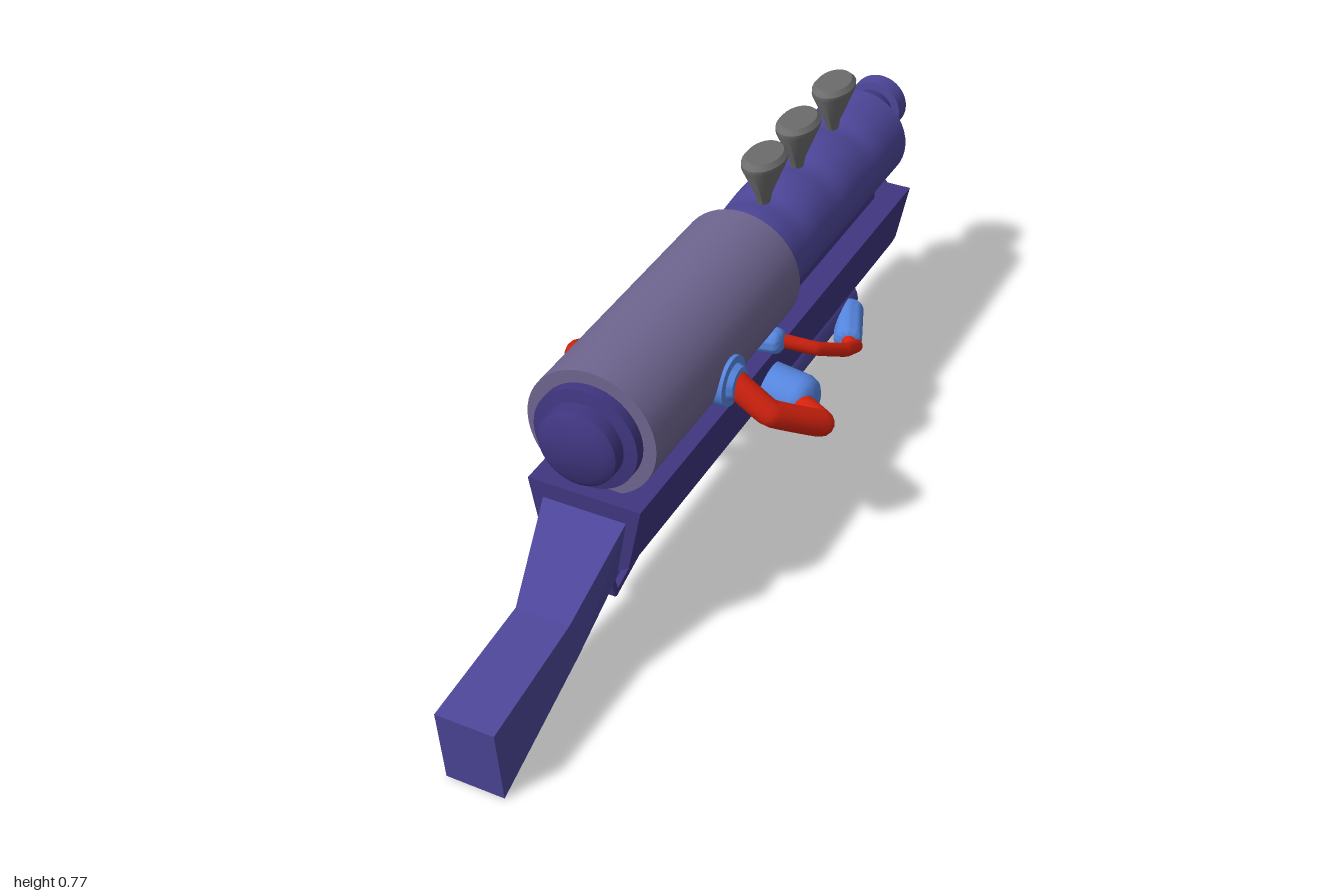
import * as THREE from 'three';
import { toCreasedNormals } from 'three/addons/utils/BufferGeometryUtils.js';

const mat = (name, color) => {
  const m = new THREE.MeshStandardMaterial({ color });
  m.name = name;
  return m;
};

export function createModel() {
  const root = new THREE.Group();
  root.name = 'waterBlaster';
  const purple = mat('purple', 0x4d4699);
  const darkPurple = mat('dark purple', 0x3f3680);
  const mauve = mat('mauve', 0x6f6590);
  const blue = mat('light blue', 0x5585de);
  const red = mat('red', 0xdc2410);
  const grey = mat('grey', 0x6c6c6c);

  const add = (name, geo, material, x = 0, y = 0, z = 0) => {
    const m = new THREE.Mesh(geo, material);
    m.name = name;
    m.position.set(x, y, z);
    root.add(m);
    return m;
  };
  const V = (p) => new THREE.Vector3(...p);

  // Turned part: profile of [radius, height], sharp corners kept
  const turned = (profile, sides = 40) => toCreasedNormals(
    new THREE.LatheGeometry(profile.map(([r, h]) => new THREE.Vector2(r, h)), sides), 0.6);
  // Turned part whose profile heights run along z
  const turnedZ = (profile, sides) => turned(profile, sides).rotateX(Math.PI / 2);

  // Flat-sided solid through rings, each counter-clockwise, ordered from +z to -z
  const loft = (rings) => {
    const pos = [];
    const tri = (...pts) => pts.forEach((p) => pos.push(...p));
    const n = rings[0].length;
    for (let k = 0; k < rings.length - 1; k++) {
      for (let i = 0; i < n; i++) {
        const j = (i + 1) % n;
        const a = rings[k][i], b = rings[k][j], c = rings[k + 1][j], d = rings[k + 1][i];
        tri(a, d, c);
        tri(a, c, b);
      }
    }
    const first = rings[0], last = rings[rings.length - 1];
    for (let i = 1; i < n - 1; i++) {
      tri(first[0], first[i], first[i + 1]);
      tri(last[0], last[i + 1], last[i]);
    }
    const g = new THREE.BufferGeometry();
    g.setAttribute('position', new THREE.Float32BufferAttribute(pos, 3));
    g.computeVertexNormals();
    return g;
  };

  // Lower body: tapered hull with chamfered underside
  const bodyRing = (z, bottom) => [
    [-0.07, bottom, z], [0.07, bottom, z], [0.1, Math.max(0.25, bottom + 0.02), z],
    [0.13, 0.405, z], [-0.13, 0.405, z], [-0.1, Math.max(0.25, bottom + 0.02), z]];
  add('body', loft([
    bodyRing(0.52, 0.23), bodyRing(0.44, 0.2), bodyRing(-0.88, 0.2), bodyRing(-0.905, 0.235),
  ]), darkPurple);

  // Shoulder stock: [top y, top z, top half width, bottom y, bottom z, bottom half width]
  add('stock', loft([
    [0.187, 1.0, 0.067, 0.0, 0.98, 0.067],
    [0.222, 0.7, 0.062, 0.115, 0.67, 0.062],
    [0.37, 0.515, 0.097, 0.225, 0.5, 0.072],
  ].map(([ty, tz, tw, by, bz, bw]) =>
    [[-bw, by, bz], [bw, by, bz], [tw, ty, tz], [-tw, ty, tz]])), purple);

  // Tank with stepped end cap
  add('tank', turnedZ([[0, -0.2], [0.147, -0.2], [0.147, 0.48], [0, 0.48]], 48), mauve, 0, 0.536);
  add('tankCap', turnedZ([
    [0.118, 0.47], [0.118, 0.505], [0.09, 0.51], [0.088, 0.54], [0.07, 0.553], [0, 0.557],
  ]), darkPurple, 0, 0.536);

  // Barrel, its top dipping slightly around each funnel
  const funnelZ = [-0.32, -0.5, -0.7];
  const barrel = new THREE.CylinderGeometry(0.12, 0.12, 0.68, 40, 34).rotateX(Math.PI / 2);
  barrel.translate(0, 0, -0.54);
  const bp = barrel.attributes.position;
  for (let i = 0; i < bp.count; i++) {
    const y = bp.getY(i), z = bp.getZ(i);
    const dip = funnelZ.reduce((s, f) => s + Math.exp(-(((z - f) / 0.04) ** 2)), 0);
    if (y > 0) bp.setY(i, y * (1 - 0.1 * dip));
  }
  barrel.computeVertexNormals();
  add('barrel', toCreasedNormals(barrel, 0.7), purple, 0, 0.537);
  add('barrelRail', new THREE.BoxGeometry(0.14, 0.05, 0.6), darkPurple, 0, 0.415, -0.52);

  // Funnels, oval in plan
  for (const z of funnelZ) {
    const g = turned([[0, 0], [0.02, 0], [0.026, 0.03], [0.074, 0.112], [0.074, 0.122], [0.06, 0.133], [0, 0.133]], 28);
    add('funnel', g.scale(0.63, 1, 1), grey, 0, 0.636, z);
  }

  // Hollow muzzles
  add('upperMuzzleNeck', turnedZ([[0, -0.96], [0.052, -0.96], [0.052, -0.86]]), darkPurple, 0, 0.573);
  add('upperMuzzle', turnedZ([
    [0.042, -0.95], [0.045, -1], [0.07, -1], [0.07, -0.955], [0.042, -0.95],
  ]), purple, 0, 0.573);
  add('lowerMuzzle', turnedZ([
    [0, -0.92], [0.035, -0.92], [0.035, -0.967], [0.057, -0.967], [0.057, -0.937], [0.042, -0.932], [0.042, -0.88],
  ]), purple, 0, 0.333);

  // Canister slung under the body
  const canister = turnedZ([
    [0, -0.765], [0.03, -0.765], [0.03, -0.735], [0.055, -0.735], [0.065, -0.725], [0.065, -0.265], [0, -0.265],
  ]);
  add('canister', canister.scale(1.2, 1, 1), purple, 0, 0.165);

  // Trigger guard and trigger from flat bars; points are [y, z]
  const bars = (name, pts, width, thick) => pts.slice(1).forEach(([y, z], i) => {
    const [y0, z0] = pts[i];
    const g = new THREE.BoxGeometry(width, thick, Math.hypot(y - y0, z - z0) + thick * 0.6);
    add(name, g, darkPurple, 0, (y + y0) / 2, (z + z0) / 2).rotation.x = Math.atan2(y0 - y, z - z0);
  });
  bars('triggerGuard', [[0.22, 0.48], [0.09, 0.44], [0.14, 0.295], [0.21, 0.24]], 0.05, 0.015);
  bars('trigger', [[0.21, 0.415], [0.16, 0.4], [0.13, 0.375]], 0.025, 0.01);

  // Couplings and hoses, mirrored on both sides
  const coupling = (name, from, to, profile) => {
    const m = add(name, turned(profile, 28), blue, ...from);
    m.quaternion.setFromUnitVectors(new THREE.Vector3(0, 1, 0), V(to).sub(V(from)).normalize());
  };
  const plug = (r, len) => [
    [0, 0], [r, 0], [r, len - r * 0.5], [r * 0.9, len - r * 0.22], [r * 0.68, len - r * 0.05], [0, len]];
  const hose = (name, pts, r) => {
    const curve = new THREE.CatmullRomCurve3(pts.map(V), false, 'catmullrom', 0.12);
    add(name, new THREE.TubeGeometry(curve, 40, r, 14), red);
  };
  for (const s of [1, -1]) {
    coupling('tankPort', [s * 0.11, 0.5, 0.15], [s, 0.5, 0.15],
      [[0, 0], [0.057, 0], [0.057, 0.045], [0.042, 0.047], [0.036, 0.06], [0, 0.066]]);
    coupling('smallTankPort', [s * 0.09, 0.43, -0.11], [s * 0.2, 0.445, -0.11], plug(0.03, 0.06));
    coupling('bodyCoupling', [s * 0.08, 0.298, -0.13], [s * 0.225, 0.298, -0.105], plug(0.058, 0.15));
    coupling('canisterCoupling', [s * 0.075, 0.157, -0.68], [s * 0.13, 0.157, -0.54], plug(0.035, 0.14));
    hose('largeHose', [
      [s * 0.14, 0.515, 0.155], [s * 0.23, 0.43, 0.13], [s * 0.298, 0.345, 0.01], [s * 0.2, 0.29, -0.1],
    ], 0.03);
    hose('smallHose', [
      [s * 0.12, 0.44, -0.11], [s * 0.2, 0.392, -0.18], [s * 0.23, 0.335, -0.28],
      [s * 0.2, 0.25, -0.42], [s * 0.15, 0.168, -0.52], [s * 0.115, 0.155, -0.57],
    ], 0.016);
  }
  return root;
}
